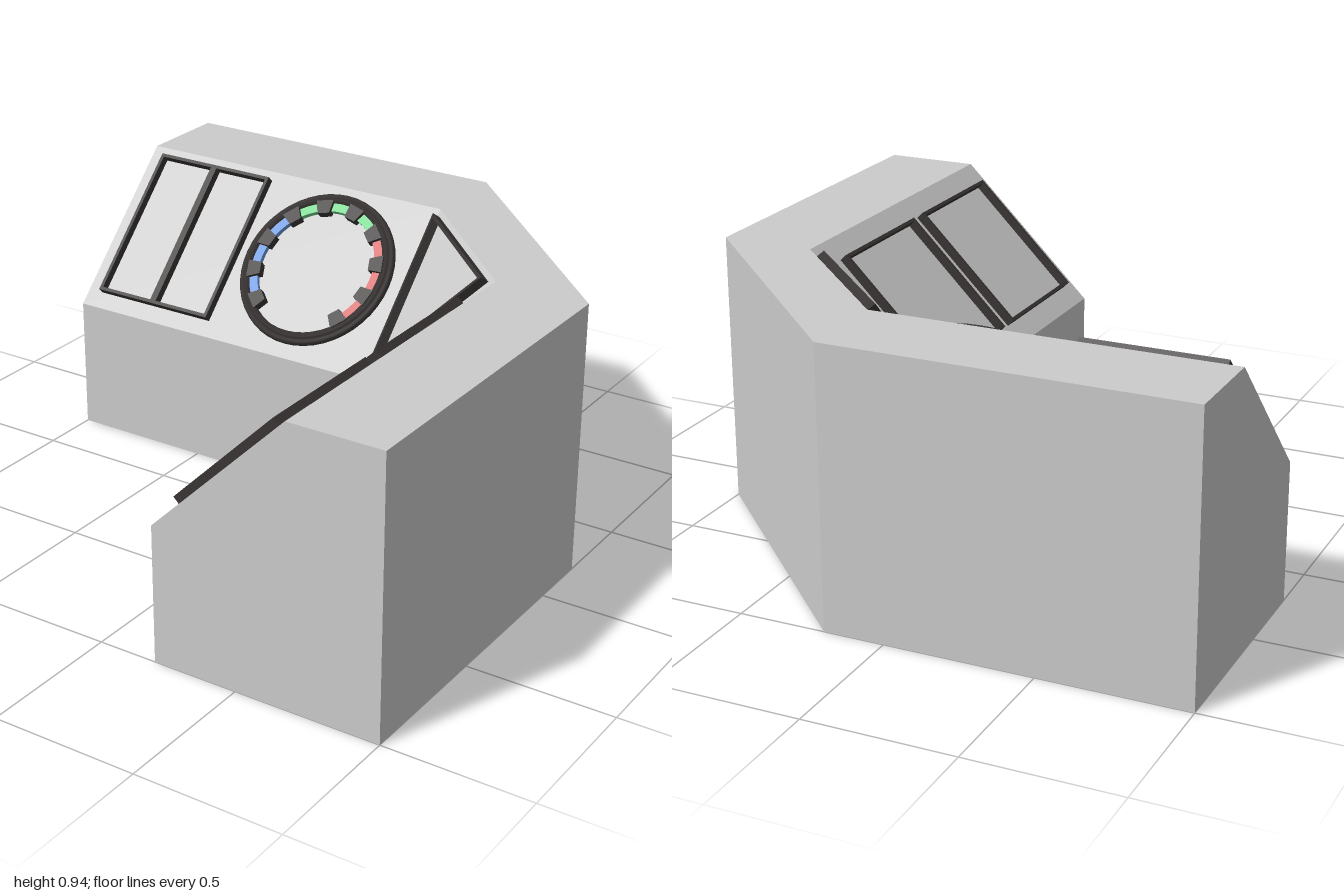
import * as THREE from 'three';

const grey = new THREE.MeshStandardMaterial({ color: 0xcccccc, flatShading: true });
const paint = (color) => new THREE.MeshStandardMaterial({ color });
const dark = paint(0x3a3535), blue = paint(0x6f9be0), green = paint(0x78d890), red = paint(0xd86c6c);

// Console outline: inner edge, outer edge, slope top, heights
const IN = 0.205, OUT = 1, RIDGE = 0.675, LOW = 0.47, TOP = 0.937;

function add(parent, name, geometry, material) {
  const mesh = new THREE.Mesh(geometry, material);
  mesh.name = name;
  parent.add(mesh);
  return mesh;
}

// Group whose local xy plane lies on a sloped panel, z pointing out of it
function mount(parent, name, origin, u, normal) {
  const x = new THREE.Vector3(...u).normalize();
  const z = new THREE.Vector3(...normal).normalize();
  const y = new THREE.Vector3().crossVectors(z, x);
  const group = new THREE.Group();
  group.name = name;
  group.quaternion.setFromRotationMatrix(new THREE.Matrix4().makeBasis(x, y, z));
  group.position.set(...origin);
  parent.add(group);
  return group;
}

// Raised bar covering a rectangle of the panel
function bar(parent, name, x0, x1, y0, y1, h = 0.03) {
  add(parent, name, new THREE.BoxGeometry(x1 - x0, y1 - y0, h), dark)
    .position.set((x0 + x1) / 2, (y0 + y1) / 2, h / 2);
}

function screenFrame(parent, x0, x1, y0, y1, w = 0.012) {
  bar(parent, 'frameBottom', x0, x1, y0, y0 + w);
  bar(parent, 'frameTop', x0, x1, y1 - w, y1);
  bar(parent, 'frameSide', x0, x0 + w, y0 + w, y1 - w);
  bar(parent, 'frameSide', x1 - w, x1, y0 + w, y1 - w);
}

// Straight wing with a sloped control panel
function wing(parent, name) {
  const shape = new THREE.Shape([
    [IN, 0], [OUT, 0], [OUT, TOP], [RIDGE, TOP], [IN, LOW],
  ].map((p) => new THREE.Vector2(...p)));
  return add(parent, name, new THREE.ExtrudeGeometry(shape, { depth: 1 + IN, bevelEnabled: false }), grey);
}

// Corner section, open underneath: outer wall, top and sloped triangle
function corner(parent) {
  const p = [
    [IN, 0, -OUT], [OUT, 0, -IN], [IN, TOP, -OUT], [OUT, TOP, -IN],
    [IN, TOP, -RIDGE], [RIDGE, TOP, -IN], [IN, LOW, -IN],
  ];
  const faces = [0, 2, 3, 0, 3, 1, 2, 4, 5, 2, 5, 3, 4, 6, 5];
  const geometry = new THREE.BufferGeometry();
  geometry.setAttribute('position', new THREE.Float32BufferAttribute(faces.flatMap((i) => p[i]), 3));
  geometry.computeVertexNormals();
  add(parent, 'cornerSection', geometry, grey);
}

// Equilateral triangle path of a given inradius, pointing down
function triangle(r, cy, Kind) {
  const k = Math.sqrt(3) * r;
  return new Kind([
    new THREE.Vector2(0, cy - 2 * r), new THREE.Vector2(k, cy + r), new THREE.Vector2(-k, cy + r),
  ]);
}

// Flat ring segment
function arcSegment(r0, r1, a0, a1, depth) {
  const shape = new THREE.Shape();
  shape.absarc(0, 0, r1, a0, a1, false);
  shape.absarc(0, 0, r0, a1, a0, true);
  return new THREE.ExtrudeGeometry(shape, { depth, bevelEnabled: false, curveSegments: 8 });
}

function dial(parent, x, y) {
  const group = new THREE.Group();
  group.name = 'dial';
  group.position.set(x, y, 0);
  parent.add(group);

  // Rim with a shallow groove
  const profile = [
    [0.29, 0], [0.288, 0.012], [0.282, 0.02], [0.274, 0.02], [0.272, 0.013],
    [0.267, 0.013], [0.265, 0.025], [0.25, 0.025], [0.248, 0],
  ].map((p) => new THREE.Vector2(...p));
  const rim = new THREE.LatheGeometry(profile, 48);
  rim.rotateX(Math.PI / 2);
  const rimMesh = add(group, 'dialRim', rim, dark.clone());
  rimMesh.material.side = THREE.DoubleSide;

  // Ten teeth with coloured lights in the nine gaps, bottom left empty
  const step = Math.PI / 6, start = -Math.PI / 4;
  const tooth = new THREE.Shape([
    [0.255, -0.032], [0.255, 0.032], [0.205, 0.022], [0.205, -0.022],
  ].map((p) => new THREE.Vector2(...p)));
  const toothGeometry = new THREE.ExtrudeGeometry(tooth, { depth: 0.03, bevelEnabled: false });
  for (let i = 0; i < 10; i++) {
    add(group, 'dialTooth', toothGeometry, dark).rotation.z = start + i * step;
    if (i < 9) {
      const a = start + i * step;
      add(group, 'dialLight', arcSegment(0.218, 0.252, a, a + step, 0.018), [red, green, blue][Math.floor(i / 3)]);
    }
  }
}

export function createModel() {
  const model = new THREE.Group();
  model.name = 'console';

  // Body
  wing(model, 'leftWing').position.z = -IN;
  const back = wing(model, 'backWing');
  back.rotation.y = Math.PI / 2;
  back.position.x = -1;
  corner(model);

  // Back panel: double screen frame and dial
  const backPanel = mount(model, 'backPanel', [0, LOW, -IN], [1, 0, 0], [0, 1, 1]);
  screenFrame(backPanel, -0.94, -0.705, 0.06, 0.626);
  screenFrame(backPanel, -0.705, -0.47, 0.06, 0.626);
  dial(backPanel, -0.148, 0.342);

  // Left panel: two separate screen frames
  const leftPanel = mount(model, 'leftPanel', [IN, LOW, 0], [0, 0, 1], [-1, 1, 0]);
  for (const z of [-0.11, 0.445]) screenFrame(leftPanel, z, z + 0.49, 0.08, 0.58);

  // Corner panel: triangular frame
  const cornerPanel = mount(model, 'cornerPanel', [IN, LOW, -IN], [1, 0, 1], [-1, 1, 1]);
  const outline = triangle(0.17, 0.384, THREE.Shape);
  outline.holes.push(triangle(0.158, 0.384, THREE.Path));
  add(cornerPanel, 'cornerFrame', new THREE.ExtrudeGeometry(outline, { depth: 0.03, bevelEnabled: false }), dark);

  return model;
}
